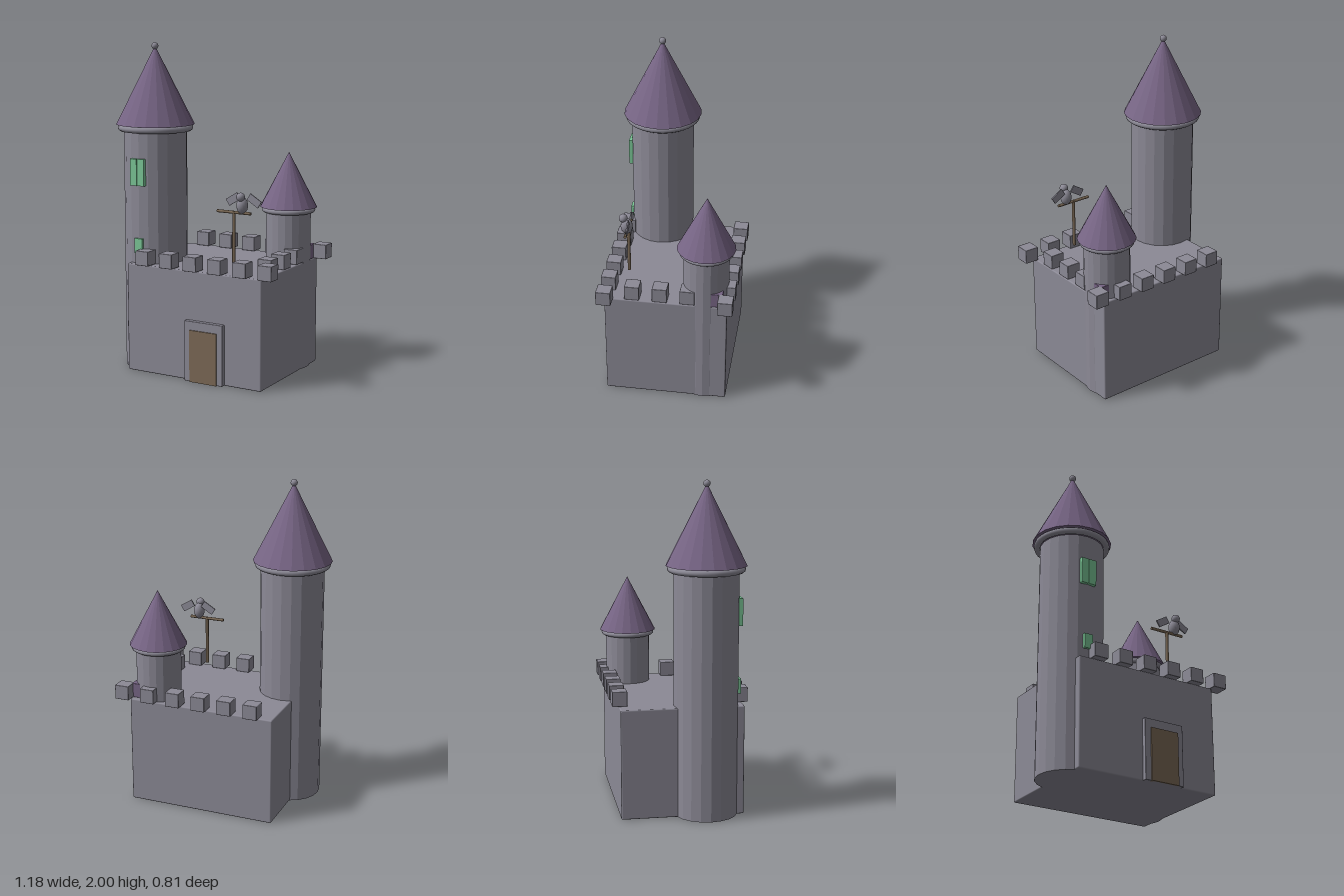
import * as THREE from 'three';
import { RoundedBoxGeometry } from 'three/addons/geometries/RoundedBoxGeometry.js';

const mat = (name, color) => Object.assign(new THREE.MeshStandardMaterial({ color }), { name });

export function createModel() {
  const stone = mat('stone grey', 0x8c8a96);
  const purple = mat('roof purple', 0x776585);
  const wood = mat('wood brown', 0x7c6a56);
  const green = mat('window green', 0x7cc998);
  const castle = new THREE.Group();
  castle.name = 'castle';

  const add = (parent, name, geometry, material, x, y, z) => {
    const mesh = new THREE.Mesh(geometry, material);
    mesh.name = name;
    mesh.position.set(x, y, z);
    parent.add(mesh);
    return mesh;
  };
  const box = (w, h, d) => new THREE.BoxGeometry(w, h, d);
  const faceted = (g) => {
    const flat = g.toNonIndexed();
    flat.computeVertexNormals();
    return flat;
  };

  // Main keep
  add(castle, 'keep', new RoundedBoxGeometry(0.925, 0.67, 0.74, 2, 0.008), stone, 0.042, 0.335, 0);

  // Battlements along front, back and right-hand walls
  const merlon = new RoundedBoxGeometry(0.09, 0.09, 0.09, 1, 0.004);
  for (let i = 0; i < 6; i++) {
    const x = -0.294 + i * 0.1672;
    add(castle, 'frontMerlon', merlon, stone, x, 0.717, 0.36);
    add(castle, 'backMerlon', merlon, stone, x, 0.717, -0.365);
  }
  for (let i = 0; i < 4; i++) {
    add(castle, 'sideMerlon', merlon, i === 3 ? purple : stone, 0.459, 0.717, 0.203 - i * 0.167);
  }

  // Round towers: faceted shaft, collar ring and conical roof
  const tower = (name, x, z, radius, height, collar, tube, roofRadius, roofHeight) => {
    const g = new THREE.Group();
    g.name = name;
    g.position.set(x, 0, z);
    castle.add(g);
    add(g, 'shaft', faceted(new THREE.CylinderGeometry(radius, radius, height, 20)), stone, 0, height / 2, 0);
    const ring = add(g, 'collar', new THREE.TorusGeometry(collar - tube, tube, 10, 40), stone, 0, height + tube * 0.75, 0);
    ring.rotation.x = Math.PI / 2;
    const base = height + tube * 1.75;
    add(g, 'roof', faceted(new THREE.ConeGeometry(roofRadius, roofHeight, 20)), purple, 0, base + roofHeight / 2, 0);
    return g;
  };
  const tall = tower('tallTower', -0.351, 0.147, 0.193, 1.47, 0.23, 0.02, 0.24, 0.475);
  add(tall, 'finial', new THREE.SphereGeometry(0.021, 16, 12), stone, 0, 1.979, 0);
  tower('shortTower', 0.374, -0.228, 0.138, 0.973, 0.165, 0.016, 0.175, 0.337);

  // Window panes on the tall tower
  for (const s of [-1, 1]) {
    add(castle, 'windowShutter', box(0.046, 0.162, 0.027), green, -0.353 + s * 0.0255, 1.23, 0.344);
  }
  add(castle, 'smallWindow', box(0.055, 0.09, 0.022), green, -0.35, 0.78, 0.343);

  // Doorway
  add(castle, 'doorFrame', new RoundedBoxGeometry(0.26, 0.372, 0.06, 1, 0.004), stone, 0.131, 0.186, 0.367);
  add(castle, 'door', box(0.185, 0.318, 0.05), wood, 0.132, 0.159, 0.379);

  // Perch
  const perch = new THREE.Group();
  perch.name = 'perch';
  castle.add(perch);
  add(perch, 'post', new THREE.CylinderGeometry(0.01, 0.01, 0.305, 10), wood, 0.262, 0.88, 0.259);
  const bar = add(perch, 'crossbar', new THREE.CylinderGeometry(0.009, 0.009, 0.225, 10), wood, 0.262, 1.027, 0.259);
  bar.rotation.z = Math.PI / 2;

  // Bird with raised wings
  const bird = new THREE.Group();
  bird.name = 'bird';
  bird.position.set(0.317, 1.072, 0.259);
  castle.add(bird);
  const ball = new THREE.SphereGeometry(1, 16, 12);
  add(bird, 'body', ball, stone, 0, 0, 0).scale.set(0.034, 0.05, 0.036);
  add(bird, 'head', ball, stone, 0, 0.052, 0.02).scale.setScalar(0.026);
  for (const s of [-1, 1]) {
    const wing = add(bird, s > 0 ? 'leftWing' : 'rightWing', box(0.085, 0.045, 0.008), stone, s * 0.07, 0.03, -0.018);
    wing.rotation.z = -s * 0.55;
  }
  return castle;
}
